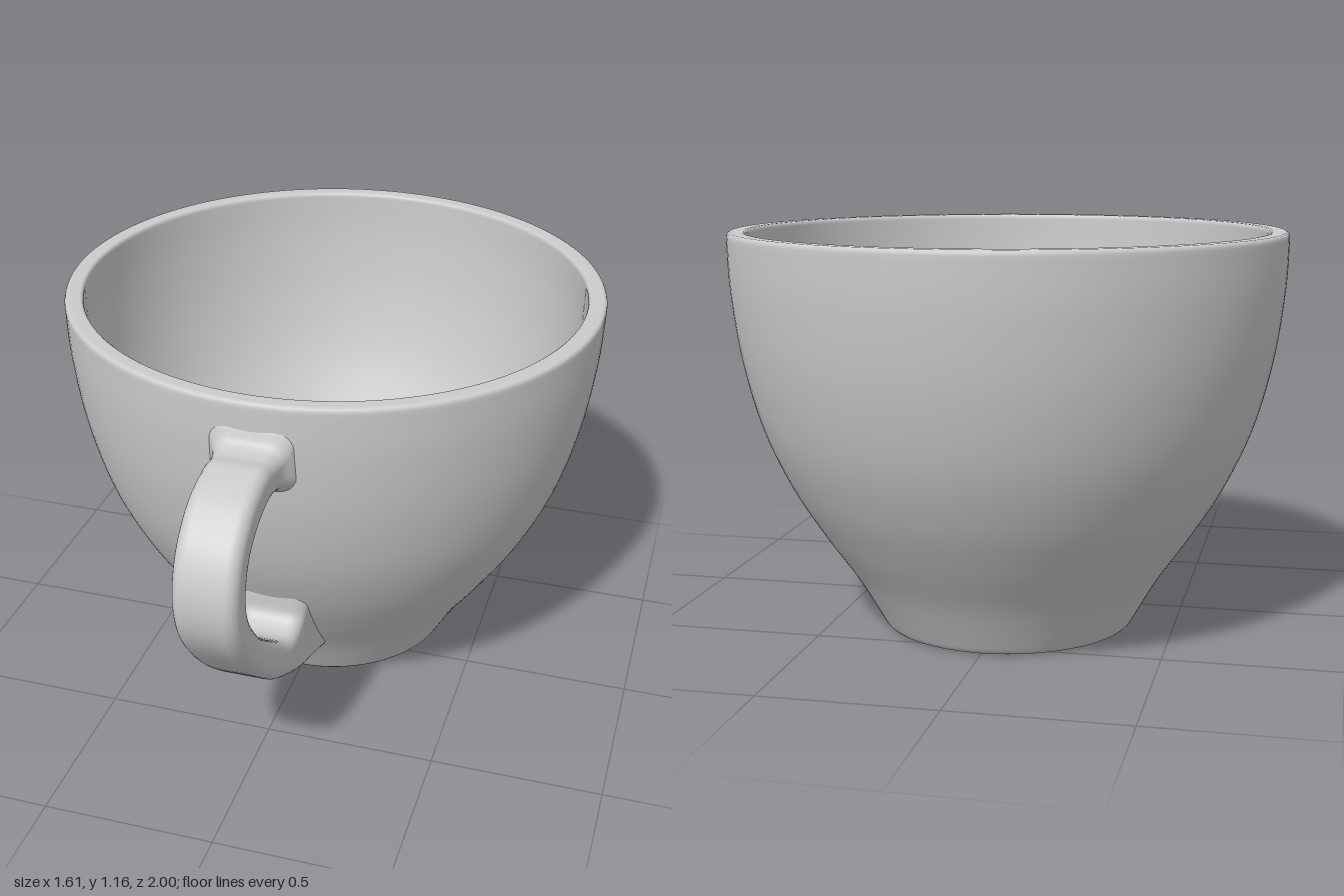
import * as THREE from 'three';

const grey = new THREE.MeshStandardMaterial({ color: 0xcccccc });
const AXIS_Z = -0.195; // the bowl sits behind centre to balance the handle

const v2 = (pairs) => pairs.map(([x, y]) => new THREE.Vector2(x, y));
const spline = (pairs, n) => new THREE.SplineCurve(v2(pairs)).getPoints(n);

// Bowl: one closed profile from the underside, up the wall, over the rim and down to the floor
function makeBowl() {
  const underside = v2([
    [0, 0.03], [0.205, 0.03], [0.215, 0.03], [0.23, 0.025], [0.242, 0.012], [0.25, 0.002], [0.257, 0],
    [0.265, 0], [0.35, 0], [0.358, 0], [0.366, 0.003], [0.373, 0.01],
  ]);
  const outside = spline([
    [0.378, 0.018], [0.455, 0.15], [0.549, 0.285], [0.639, 0.43], [0.716, 0.6],
    [0.77, 0.8], [0.798, 1.0], [0.805, 1.15],
  ], 49);
  const rim = v2([[0.804, 1.157], [0.801, 1.162], [0.795, 1.165], [0.788, 1.165], [0.762, 1.165],
    [0.756, 1.164], [0.752, 1.161], [0.75, 1.155]]);
  const inside = spline([
    [0.75, 1.15], [0.743, 1.005], [0.716, 0.813], [0.665, 0.621], [0.592, 0.458],
    [0.503, 0.315], [0.43, 0.21], [0.393, 0.16],
  ], 49);
  const fillet = spline([[0.388, 0.154], [0.345, 0.114], [0.295, 0.088], [0.24, 0.08]], 12);
  const floor = v2([[0.23, 0.08], [0, 0.08]]);
  const bowl = new THREE.Mesh(
    new THREE.LatheGeometry([...underside, ...outside, ...rim, ...inside, ...fillet, ...floor], 128), grey);
  bowl.name = 'bowl';
  bowl.position.z = AXIS_Z;
  return bowl;
}

// Handle: rounded-rectangle sections between an outer and an inner side curve [z, y]
function makeHandle() {
  const outer = [
    [0.575, 1.115], [0.603, 1.09], [0.625, 1.05], [0.67, 1.038], [0.737, 1.041], [0.857, 1.006], [0.958, 0.912],
    [0.998, 0.785], [0.968, 0.648], [0.848, 0.49], [0.68, 0.337], [0.565, 0.263], [0.46, 0.212],
    [0.36, 0.177], [0.262, 0.151], [0.235, 0.155],
  ];
  const inner = [
    [0.565, 0.88], [0.592, 0.902], [0.625, 0.921], [0.665, 0.931], [0.72, 0.933], [0.807, 0.906], [0.872, 0.848],
    [0.893, 0.762], [0.866, 0.676], [0.765, 0.548], [0.62, 0.428], [0.55, 0.382], [0.5, 0.379],
    [0.463, 0.408], [0.457, 0.472], [0.435, 0.51],
  ];
  // [half width, corner radius]: flares where the handle melts into the wall
  const bar = [0.09, 0.036];
  const section = [
    [0.135, 0.065], [0.116, 0.055], [0.099, 0.044], [0.091, 0.037], ...Array(8).fill(bar),
    [0.091, 0.036], [0.095, 0.04], [0.105, 0.05], [0.125, 0.06],
  ];

  const stations = 120, arc = 6;
  const [A, B, S] = [outer, inner, section].map((p) => spline(p, stations));
  const pos = [], index = [];
  const ring = 4 * (arc + 1);
  for (let s = 0; s <= stations; s++) {
    const mid = A[s].clone().add(B[s]).multiplyScalar(0.5);
    const across = A[s].clone().sub(B[s]);
    const h = across.length() / 2;
    across.normalize();
    const { x: half, y: corner } = S[s];
    for (let q = 0; q < 4; q++) {
      const sx = q === 0 || q === 3 ? 1 : -1, sy = q < 2 ? 1 : -1;
      for (let k = 0; k <= arc; k++) {
        const a = (q + k / arc) * Math.PI / 2;
        const x = sx * (half - corner) + corner * Math.cos(a);
        const d = sy * (h - corner) + corner * Math.sin(a);
        pos.push(x, mid.y + across.y * d, mid.x + across.x * d);
      }
    }
  }
  for (let s = 0; s < stations; s++) {
    for (let k = 0; k < ring; k++) {
      const a = s * ring + k, b = s * ring + (k + 1) % ring;
      index.push(a, b, a + ring, b, b + ring, a + ring);
    }
  }
  const geo = new THREE.BufferGeometry();
  geo.setAttribute('position', new THREE.Float32BufferAttribute(pos, 3));
  geo.setIndex(index);
  geo.computeVertexNormals();
  const handle = new THREE.Mesh(geo, grey);
  handle.name = 'handle';
  return handle;
}

export function createModel() {
  const cup = new THREE.Group();
  cup.name = 'cup';
  cup.add(makeBowl(), makeHandle());
  return cup;
}
